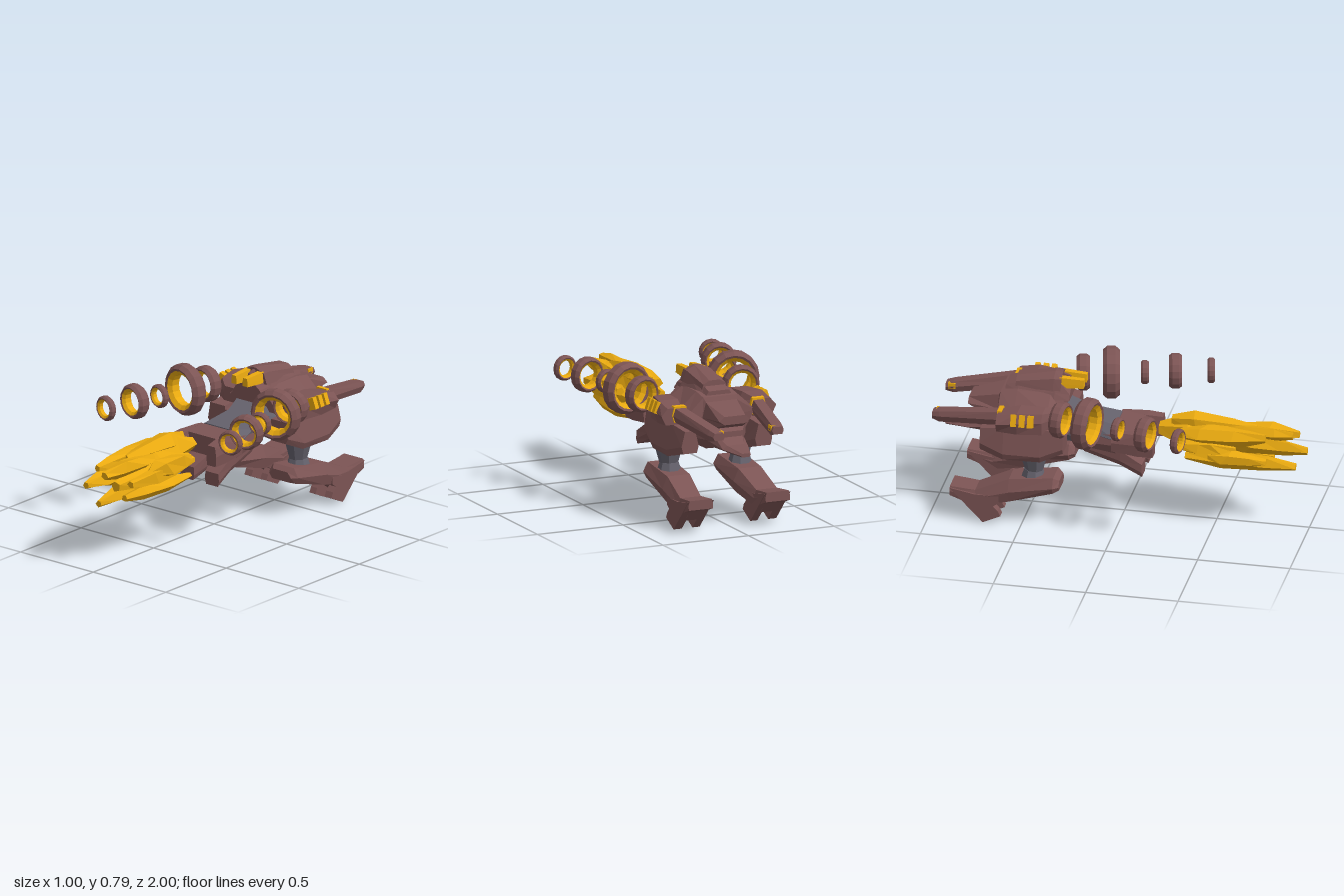
import * as THREE from 'three';

const mat = (color) => new THREE.MeshStandardMaterial({ color, flatShading: true });
const brown = mat(0x7c5454), gold = mat(0xeaaa10), grey = mat(0x64616c);

// Skin between rings of points (counter-clockwise seen from +z, back ring first), with end caps
function skin(rings) {
  const pos = [], n = rings[0].length, tri = (...p) => p.forEach((v) => pos.push(...v));
  for (let r = 0; r < rings.length - 1; r++) {
    const a = rings[r], b = rings[r + 1];
    for (let i = 0; i < n; i++) {
      const j = (i + 1) % n;
      tri(a[i], a[j], b[j]);
      tri(a[i], b[j], b[i]);
    }
  }
  const back = rings[0], front = rings[rings.length - 1];
  for (let i = 1; i < n - 1; i++) {
    tri(back[0], back[i + 1], back[i]);
    tri(front[0], front[i], front[i + 1]);
  }
  const g = new THREE.BufferGeometry();
  g.setAttribute('position', new THREE.Float32BufferAttribute(pos, 3));
  g.computeVertexNormals();
  return g;
}

// Hexagonal hull: sections are [z, centreX, topHalf, midHalf, bottomHalf, yBottom, yMid, yTop]
const hull = (sections) => skin(sections.map(([z, c, t, m, b, y0, y1, y2]) => [
  [c + m, y1, z], [c + t, y2, z], [c - t, y2, z], [c - m, y1, z], [c - b, y0, z], [c + b, y0, z],
]));

// Side profile of [z, y] points given a thickness from x0 to x1
function plate(points, x0, x1) {
  const shape = new THREE.Shape(points.map(([z, y]) => new THREE.Vector2(-z, y)));
  const g = new THREE.ExtrudeGeometry(shape, { depth: x1 - x0, bevelEnabled: false });
  return g.rotateY(Math.PI / 2).translate(x0, 0, 0);
}

const box = (x0, x1, y0, y1, z0, z1) => new THREE.BoxGeometry(x1 - x0, y1 - y0, z1 - z0)
  .translate((x0 + x1) / 2, (y0 + y1) / 2, (z0 + z1) / 2);

// Mirror across x = 0, keeping faces outward
function mirrored(geometry) {
  const g = geometry.index ? geometry.toNonIndexed() : geometry.clone();
  const p = g.attributes.position;
  for (let i = 0; i < p.count; i += 3) {
    const v = [0, 2, 1].map((k) => new THREE.Vector3().fromBufferAttribute(p, i + k));
    v.forEach((q, k) => p.setXYZ(i + k, -q.x, q.y, q.z));
  }
  g.computeVertexNormals();
  return g;
}

export function createModel() {
  const model = new THREE.Group();
  const add = (name, geometry, material = brown) => {
    const mesh = new THREE.Mesh(geometry, material);
    mesh.name = name;
    model.add(mesh);
  };
  const pair = (name, geometry, material = brown) => {
    add(name + 'Left', geometry, material);
    add(name + 'Right', mirrored(geometry), material);
  };

  // Body armour
  add('upperHull', hull([
    [-0.83, 0, 0.06, 0.09, 0.06, 0.57, 0.59, 0.615],
    [-0.66, 0, 0.09, 0.11, 0.11, 0.50, 0.58, 0.66],
    [-0.65, 0, 0.10, 0.20, 0.14, 0.49, 0.59, 0.685],
    [-0.56, 0, 0.10, 0.20, 0.16, 0.48, 0.61, 0.70],
    [-0.38, 0, 0.09, 0.20, 0.15, 0.50, 0.62, 0.695],
    [-0.31, 0, 0.09, 0.15, 0.11, 0.55, 0.61, 0.68],
  ]));
  add('belly', hull([
    [-0.78, 0, 0.07, 0.07, 0.04, 0.44, 0.47, 0.52],
    [-0.66, 0, 0.14, 0.14, 0.09, 0.41, 0.47, 0.56],
    [-0.40, 0, 0.15, 0.15, 0.10, 0.41, 0.48, 0.56],
    [-0.24, 0, 0.12, 0.12, 0.08, 0.45, 0.50, 0.55],
  ]));
  add('tail', hull([
    [-0.965, 0, 0.02, 0.03, 0.02, 0.42, 0.43, 0.44],
    [-0.84, 0, 0.05, 0.075, 0.04, 0.42, 0.44, 0.46],
    [-0.70, 0, 0.09, 0.11, 0.08, 0.43, 0.47, 0.53],
  ]));

  // Raised head with two gold eyes
  add('head', hull([
    [-0.63, 0, 0.06, 0.09, 0.13, 0.62, 0.66, 0.71],
    [-0.56, 0, 0.06, 0.09, 0.12, 0.64, 0.69, 0.73],
    [-0.36, 0, 0.055, 0.093, 0.115, 0.66, 0.70, 0.77],
    [-0.28, 0, 0.04, 0.08, 0.10, 0.66, 0.69, 0.72],
  ]));
  add('headCrest', hull([
    [-0.575, 0, 0.03, 0.065, 0.075, 0.70, 0.735, 0.755],
    [-0.37, 0, 0.018, 0.07, 0.09, 0.71, 0.77, 0.793],
    [-0.33, 0, 0.01, 0.068, 0.088, 0.71, 0.768, 0.79],
  ]));
  add('browRidge', hull([
    [-0.36, 0, 0.008, 0.018, 0.022, 0.69, 0.75, 0.79],
    [-0.29, 0, 0.008, 0.016, 0.018, 0.69, 0.72, 0.765],
  ]));
  pair('eye', hull([
    [-0.34, 0.042, 0.018, 0.022, 0.024, 0.715, 0.74, 0.775],
    [-0.21, 0.038, 0.014, 0.017, 0.018, 0.722, 0.74, 0.768],
  ]), gold);

  // Grey waist, then the open muzzle
  add('waist', hull([
    [-0.36, 0, 0.12, 0.17, 0.11, 0.44, 0.54, 0.61],
    [-0.20, 0, 0.065, 0.105, 0.09, 0.42, 0.50, 0.575],
    [-0.03, 0, 0.09, 0.15, 0.10, 0.42, 0.48, 0.54],
  ]), grey);
  add('muzzleRoof', hull([
    [-0.03, 0, 0.115, 0.15, 0.12, 0.42, 0.48, 0.535],
    [0.10, 0, 0.09, 0.15, 0.13, 0.42, 0.48, 0.525],
  ]));
  pair('muzzleCheek', hull([
    [-0.04, 0.12, 0.02, 0.045, 0.04, 0.42, 0.47, 0.525],
    [0.10, 0.125, 0.03, 0.045, 0.04, 0.405, 0.47, 0.525],
    [0.185, 0.135, 0.025, 0.034, 0.03, 0.405, 0.46, 0.515],
  ]));
  pair('muzzleSide', hull([
    [-0.20, 0.09, 0.02, 0.03, 0.02, 0.41, 0.44, 0.48],
    [-0.02, 0.11, 0.03, 0.045, 0.03, 0.40, 0.45, 0.51],
  ]));
  pair('lowerJaw', hull([
    [-0.20, 0.055, 0.05, 0.05, 0.04, 0.375, 0.40, 0.44],
    [0.00, 0.065, 0.06, 0.06, 0.045, 0.32, 0.35, 0.41],
    [0.12, 0.085, 0.045, 0.048, 0.04, 0.268, 0.295, 0.34],
  ]));

  // Shoulder pods, rear barrels and gold vents
  pair('shoulderPod', hull([
    [-0.63, 0.26, 0.04, 0.075, 0.05, 0.55, 0.60, 0.64],
    [-0.52, 0.245, 0.055, 0.08, 0.06, 0.54, 0.61, 0.66],
    [-0.39, 0.225, 0.045, 0.065, 0.06, 0.54, 0.61, 0.655],
    [-0.33, 0.17, 0.03, 0.04, 0.03, 0.56, 0.61, 0.64],
  ]));
  pair('barrel', hull([
    [-1.00, 0.172, 0.025, 0.034, 0.025, 0.535, 0.555, 0.575],
    [-0.96, 0.178, 0.030, 0.042, 0.030, 0.525, 0.56, 0.585],
    [-0.62, 0.230, 0.028, 0.042, 0.030, 0.565, 0.60, 0.64],
  ]));
  pair('barrelTip', box(0.138, 0.165, 0.55, 0.58, -0.985, -0.945), gold);
  pair('barrelCollar', hull([
    [-0.635, 0.228, 0.034, 0.046, 0.034, 0.56, 0.60, 0.648],
    [-0.61, 0.232, 0.034, 0.046, 0.034, 0.565, 0.605, 0.65],
  ]), gold);
  for (const z of [-0.535, -0.49, -0.445]) {
    pair('vent', box(-0.022, 0.022, -0.032, 0.032, -0.014, 0.014).rotateZ(0.35).translate(0.31, 0.625, z), gold);
  }

  // Legs
  pair('thigh', hull([
    [-0.73, 0.215, 0.03, 0.05, 0.04, 0.41, 0.45, 0.53],
    [-0.60, 0.215, 0.050, 0.080, 0.07, 0.375, 0.41, 0.55],
    [-0.40, 0.213, 0.050, 0.080, 0.065, 0.375, 0.41, 0.56],
    [-0.28, 0.210, 0.05, 0.065, 0.05, 0.43, 0.46, 0.55],
  ]));
  const knee = (rTop, rBottom, h, y, z) => new THREE.CylinderGeometry(rTop, rBottom, h, 8)
    .rotateY(Math.PI / 8).translate(0.207, y, z);
  pair('kneeUpper', knee(0.075, 0.05, 0.09, 0.345, -0.445), grey);
  pair('kneeLower', knee(0.05, 0.07, 0.06, 0.275, -0.45), grey);
  pair('shin', hull([
    [-0.885, 0.225, 0.065, 0.072, 0.07, 0.14, 0.165, 0.192],
    [-0.75, 0.222, 0.06, 0.077, 0.07, 0.09, 0.135, 0.178],
    [-0.57, 0.208, 0.065, 0.095, 0.08, 0.13, 0.19, 0.256],
    [-0.33, 0.205, 0.07, 0.098, 0.08, 0.20, 0.235, 0.285],
    [-0.30, 0.205, 0.05, 0.075, 0.055, 0.21, 0.235, 0.265],
  ]));
  const claw = [[-0.885, 0.185], [-0.705, 0], [-0.61, 0.045], [-0.625, 0.075], [-0.65, 0.10], [-0.62, 0.12], [-0.62, 0.16], [-0.75, 0.16]];
  pair('innerClaw', plate(claw, 0.148, 0.19));
  pair('outerClaw', plate(claw, 0.252, 0.30));
  pair('footBridge', plate([[-0.875, 0.175], [-0.76, 0.055], [-0.72, 0.05], [-0.66, 0.09], [-0.64, 0.14]], 0.18, 0.26));

  // Rings flaring out along each side: [x, y, z, radius, depth]
  const rings = [
    [0.29, 0.645, -0.285, 0.098, 0.072], [0.312, 0.648, -0.138, 0.14, 0.09],
    [0.346, 0.65, 0.036, 0.064, 0.042], [0.385, 0.655, 0.194, 0.095, 0.07],
    [0.429, 0.655, 0.378, 0.068, 0.042],
  ];
  const casing = [[0.77, -0.44], [0.86, -0.5], [1, -0.25], [1, 0.25], [0.86, 0.5], [0.77, 0.44]];
  const lining = [[0.77, 0.44], [0.61, 0.25], [0.61, -0.25], [0.77, -0.44]];
  for (const [x, y, z, r, d] of rings) {
    const lathe = (profile) => new THREE.LatheGeometry(profile.map(([u, v]) => new THREE.Vector2(u * r, v * d)), 16)
      .rotateX(Math.PI / 2).rotateY(0.21).translate(x, y, z);
    pair('ringCasing', lathe(casing));
    pair('ringLining', lathe(lining), gold);
  }

  // Jagged blast of gold shards: [x, y, z] at the back, then at the front, then radius
  let seed = 7;
  const random = () => (seed = (seed * 16807) % 2147483647) / 2147483647;
  const shards = [
    [0, 0.51, 0.19, 0.00, 0.50, 0.70, 0.085], [-0.04, 0.50, 0.55, -0.05, 0.475, 1.0, 0.055],
    [-0.01, 0.565, 0.26, -0.01, 0.56, 0.72, 0.06], [0.03, 0.53, 0.55, 0.03, 0.53, 0.94, 0.055],
    [-0.11, 0.47, 0.31, -0.10, 0.47, 0.62, 0.045], [-0.13, 0.43, 0.48, -0.12, 0.42, 0.79, 0.045],
    [0.12, 0.50, 0.35, 0.10, 0.48, 0.65, 0.06], [0.085, 0.46, 0.28, 0.10, 0.46, 0.81, 0.055],
    [0.08, 0.375, 0.30, 0.05, 0.37, 0.80, 0.045], [-0.05, 0.385, 0.34, -0.02, 0.36, 0.93, 0.05],
    [-0.09, 0.53, 0.32, -0.08, 0.54, 0.78, 0.06], [-0.04, 0.55, 0.5, -0.04, 0.55, 0.92, 0.045],
    [0.02, 0.46, 0.36, 0.04, 0.45, 0.86, 0.075],
  ];
  for (const [x0, y0, z0, x1, y1, z1, r] of shards) {
    const turn = random() * 6;
    add('blastShard', skin([[0, 0.45], [0.3, 1], [0.7, 0.9], [1, 0.4]].map(([t, s]) =>
      Array.from({ length: 5 }, (_, i) => {
        const a = turn + (i / 5) * Math.PI * 2, q = r * s * (0.75 + 0.4 * random());
        const slant = t > 0 && t < 1 ? (random() - 0.5) * 0.08 : 0;
        return [x0 + (x1 - x0) * t + Math.cos(a) * q, y0 + (y1 - y0) * t + Math.sin(a) * q, z0 + (z1 - z0) * t + slant];
      }))), gold);
  }
  return model;
}
